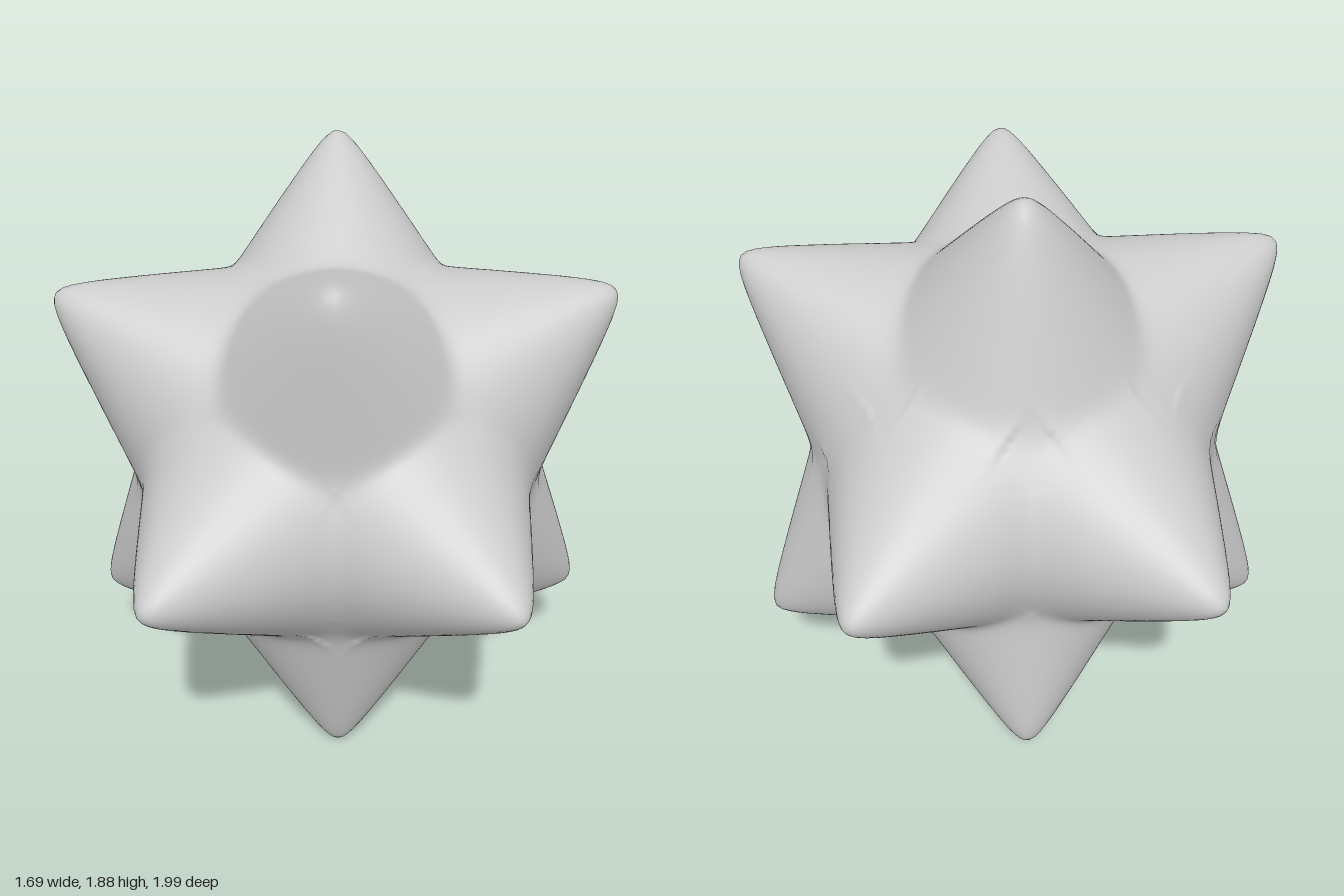
import * as THREE from 'three';
import { mergeVertices } from 'three/addons/utils/BufferGeometryUtils.js';

const CENTER_Y = 0.945;

// Spike tips relative to the centre; each has an opposite twin
const HALF_TIPS = [
  [-0.15, 0.94, -0.27],
  [0.285, 0.77, 0.54],
  [-0.65, 0.58, 0.5],
  [0.76, 0.595, -0.27],
  [0.84, -0.02, 0.53],
  [-0.03, -0.02, 0.995],
];

const SLOPE = 0.69; // spread of each cone
const ROUND = 0.04; // softness of the tips
const BLEND = 0.012; // softness of the valleys

// Distance from the centre to a round-tipped cone, along a unit direction
function coneRadius(dir, spike) {
  const c = dir.dot(spike.axis);
  if (c < 0.3) return 0;
  const s = Math.sqrt(Math.max(0, 1 - c * c) + ROUND * ROUND);
  return spike.length * (ROUND + SLOPE) / (s + SLOPE * c);
}

function createSpikyBody() {
  const spikes = [];
  for (const tip of HALF_TIPS) {
    for (const sign of [1, -1]) {
      const v = new THREE.Vector3(...tip).multiplyScalar(sign);
      spikes.push({ length: v.length(), axis: v.normalize() });
    }
  }

  let geometry = new THREE.IcosahedronGeometry(1, 59);
  geometry.deleteAttribute('normal');
  geometry.deleteAttribute('uv');
  geometry = mergeVertices(geometry, 1e-5);

  // Push each point out to the smooth union of all cones
  const pos = geometry.attributes.position;
  const dir = new THREE.Vector3();
  for (let i = 0; i < pos.count; i++) {
    dir.fromBufferAttribute(pos, i).normalize();
    const radii = spikes.map((spike) => coneRadius(dir, spike));
    const top = Math.max(...radii);
    const sum = radii.reduce((t, r) => t + Math.exp((r - top) / BLEND), 0);
    dir.multiplyScalar(top + BLEND * Math.log(sum));
    pos.setXYZ(i, dir.x, dir.y, dir.z);
  }
  geometry.computeVertexNormals();
  return geometry;
}

export function createModel() {
  const group = new THREE.Group();
  group.name = 'spikyBall';
  const body = new THREE.Mesh(
    createSpikyBody(),
    new THREE.MeshStandardMaterial({ color: 0xcccccc })
  );
  body.name = 'spikedBody';
  body.position.y = CENTER_Y;
  group.add(body);
  return group;
}
